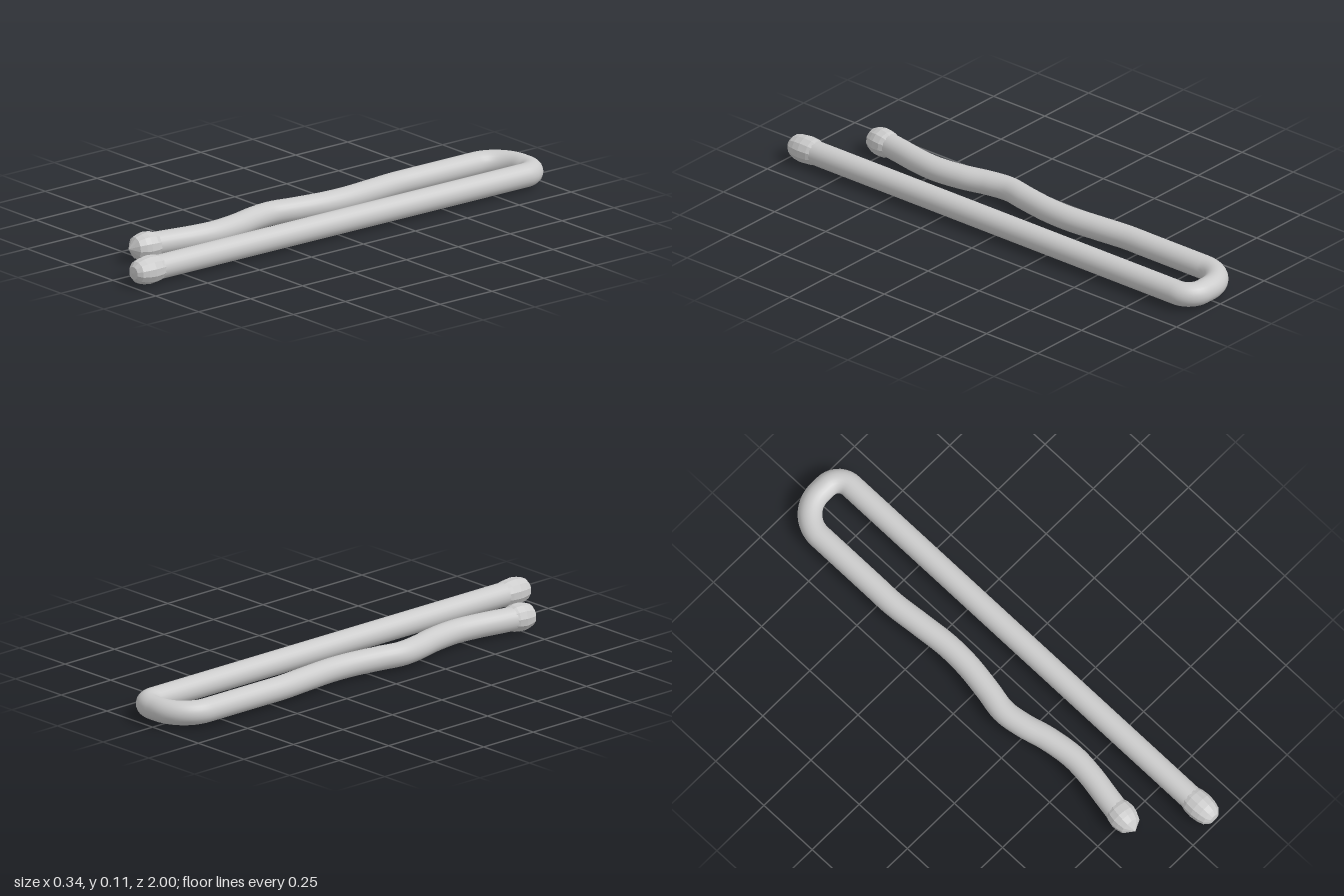
import * as THREE from 'three';

const Y = 0.056, WIRE = 0.046;
const P = (x, z) => new THREE.Vector3(x, Y, z);

// Rounded quarter bend from a to b around the sharp corner c
function bend(a, c, b) {
  return new THREE.CubicBezierCurve3(a, a.clone().lerp(c, 0.55), b.clone().lerp(c, 0.55), b);
}

// Faceted tip: profile of [radius, distance], laid along direction (dx, dz)
function makeTip(name, profile, x, z, dx, dz, material) {
  const points = profile.map(([r, d]) => new THREE.Vector2(r, d));
  const tip = new THREE.Mesh(new THREE.LatheGeometry(points, 12, Math.PI / 12), material);
  tip.name = name;
  tip.position.set(x, Y, z);
  tip.quaternion.setFromUnitVectors(new THREE.Vector3(0, 1, 0), new THREE.Vector3(dx, 0, dz).normalize());
  return tip;
}

export function createModel() {
  const group = new THREE.Group();
  group.name = 'hairpin';
  const smooth = new THREE.MeshStandardMaterial({ color: 0xcccccc });
  const faceted = new THREE.MeshStandardMaterial({ color: 0xcccccc, flatShading: true, side: THREE.DoubleSide });

  // Centre line: straight leg, two unequal bends, then the wavy leg
  const path = new THREE.CurvePath();
  const a = P(0.115, -0.888), b = P(0.05, -0.953), c = P(0.015, -0.953), d = P(-0.109, -0.83);
  path.add(new THREE.LineCurve3(P(0.115, 0.9), a));
  path.add(bend(a, P(0.115, -0.953), b));
  path.add(new THREE.LineCurve3(b, c));
  path.add(bend(c, P(-0.109, -0.953), d));
  path.add(new THREE.LineCurve3(d, P(-0.109, -0.55)));
  path.add(new THREE.CatmullRomCurve3([
    [-0.109, -0.55], [-0.109, -0.45], [-0.097, -0.32], [-0.086, -0.19], [-0.09, -0.08],
    [-0.108, 0.04], [-0.126, 0.14], [-0.115, 0.23], [-0.09, 0.33], [-0.075, 0.45],
    [-0.083, 0.55], [-0.101, 0.65], [-0.115, 0.73],
  ].map(([x, z]) => P(x, z))));

  const wire = new THREE.Mesh(new THREE.TubeGeometry(path, 300, WIRE, 24), smooth);
  wire.name = 'bentWire';
  group.add(wire);

  // Blunt tip on the straight leg, pointed tip on the wavy leg
  group.add(makeTip('straightLegTip',
    [[0.045, 0], [0.051, 0.02], [0.054, 0.055], [0.05, 0.085], [0.042, 0.11], [0.025, 0.126], [0, 0.13]],
    0.115, 0.87, 0, 1, faceted));
  group.add(makeTip('wavyLegTip',
    [[0.044, 0], [0.052, 0.02], [0.055, 0.05], [0.051, 0.07], [0.042, 0.095], [0, 0.123]],
    -0.108, 0.7, -0.13, 0.99, faceted));
  return group;
}
